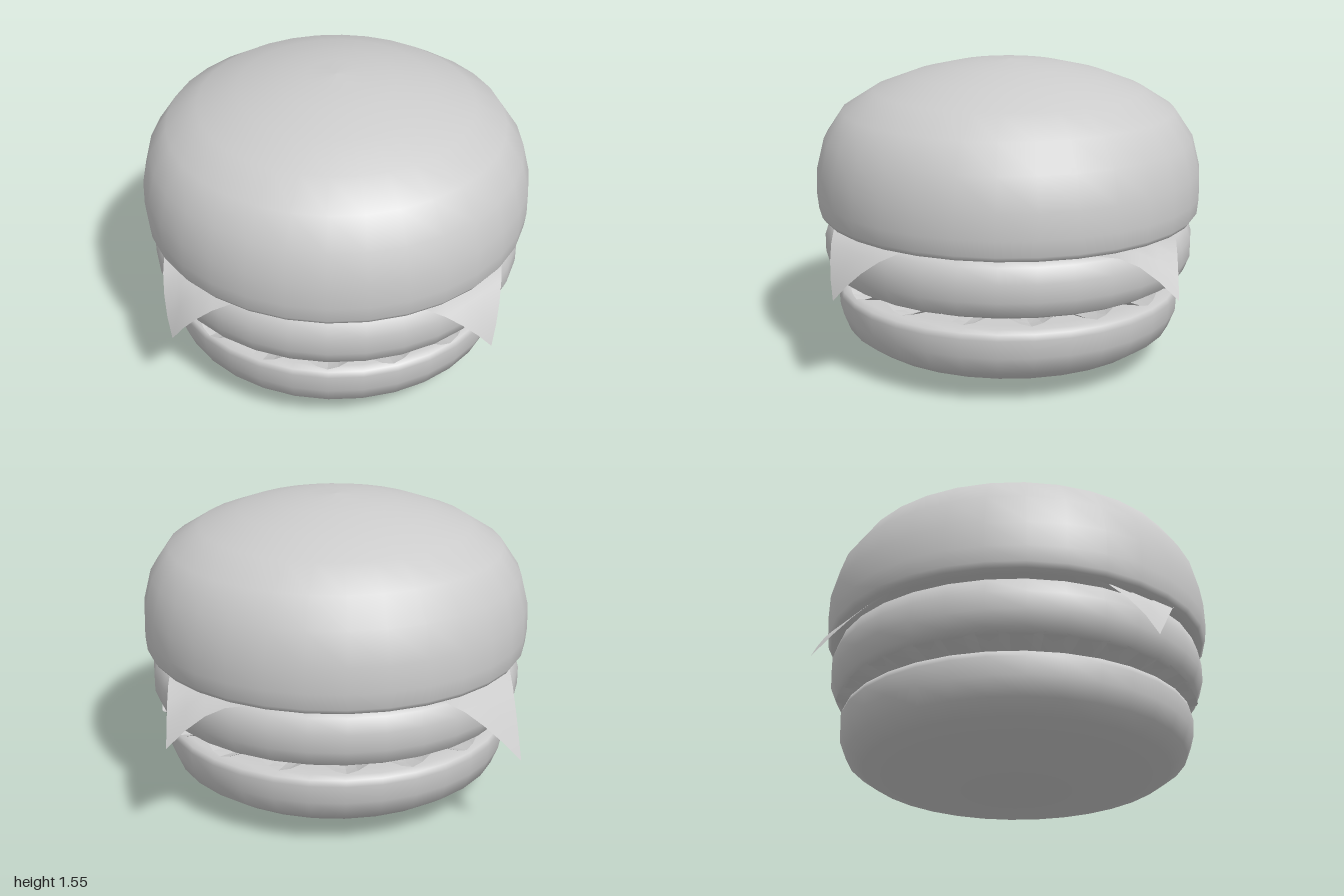
import * as THREE from 'three';

const grey = () => new THREE.MeshStandardMaterial({ color: 0xcccccc });

// Round layer turned from a bottom-to-top profile of [radius, height]
function layer(name, profile) {
  const pts = profile.map(([r, y]) => new THREE.Vector2(r, y));
  const mesh = new THREE.Mesh(new THREE.LatheGeometry(pts, 32), grey());
  mesh.name = name;
  return mesh;
}

// Square slice whose four corners droop over the patty
function cheeseSlice() {
  const half = 0.845;
  const geo = new THREE.PlaneGeometry(2 * half, 2 * half, 18, 18);
  geo.rotateX(-Math.PI / 2);
  const p = geo.attributes.position;
  for (let i = 0; i < p.count; i++) {
    const x = p.getX(i), z = p.getZ(i);
    const t = Math.max(0, (Math.abs(x) + Math.abs(z) - 1.3) / (2 * half - 1.3));
    // tip drop, inward tuck and curl of each corner
    let drop = 0.26, tuck = 0.06, curl = 0;
    if (z > 0 && x < 0) { drop = 0.29; tuck = 0.08; }
    if (z < 0 && x < 0) { drop = 0.32; tuck = 0; }
    if (z < 0 && x > 0) { drop = 0.21; tuck = 0; curl = 0.04; }
    const s = 1 - tuck * t * t;
    const y = 0.757 - drop * Math.pow(t, 1.35) + curl * Math.sin(Math.PI * t);
    p.setXYZ(i, x * s, y, z * s);
  }
  geo.computeVertexNormals();
  const mat = grey();
  mat.side = THREE.DoubleSide;
  const mesh = new THREE.Mesh(geo, mat);
  mesh.name = 'cheeseSlice';
  return mesh;
}

// Ruffled leaf: a shallow dish with radial folds growing toward the rim
function lettuce() {
  const folds = 18;
  const geo = new THREE.RingGeometry(0.55, 0.92, folds * 6, 5);
  geo.rotateX(-Math.PI / 2);
  const p = geo.attributes.position;
  for (let i = 0; i < p.count; i++) {
    const x = p.getX(i), z = p.getZ(i);
    const t = (Math.hypot(x, z) - 0.55) / 0.37;
    const wave = Math.cos(folds * Math.atan2(x, z));
    const rise = 0.4 + 0.045 * t * t;
    const s = 1 + 0.015 * t * wave;
    p.setXYZ(i, x * s, rise + 0.03 * t * (0.5 - 0.8 * wave), z * s);
  }
  geo.computeVertexNormals();
  const mat = grey();
  mat.side = THREE.DoubleSide;
  mat.flatShading = true;
  const mesh = new THREE.Mesh(geo, mat);
  mesh.name = 'lettuce';
  return mesh;
}

export function createModel() {
  const burger = new THREE.Group();
  burger.name = 'burger';
  burger.add(
    layer('bottomBun', [
      [0, 0], [0.2, 0.008], [0.42, 0.03], [0.62, 0.065], [0.78, 0.11], [0.865, 0.17],
      [0.9, 0.26], [0.905, 0.35], [0.895, 0.38], [0.86, 0.392], [0.8, 0.395], [0, 0.395],
    ]),
    lettuce(),
    layer('patty', [
      [0, 0.46], [0.84, 0.46], [0.9, 0.465], [0.935, 0.485], [0.965, 0.56],
      [0.965, 0.65], [0.94, 0.725], [0.9, 0.745], [0.84, 0.75], [0, 0.75],
    ]),
    cheeseSlice(),
    layer('topBun', [
      [0, 0.757], [0.86, 0.757], [0.94, 0.758], [0.975, 0.765], [0.992, 0.79], [1, 0.87],
      [0.996, 1], [0.955, 1.16], [0.86, 1.3], [0.7, 1.4], [0.5, 1.475],
      [0.3, 1.522], [0.15, 1.54], [0, 1.55],
    ]),
  );
  return burger;
}
